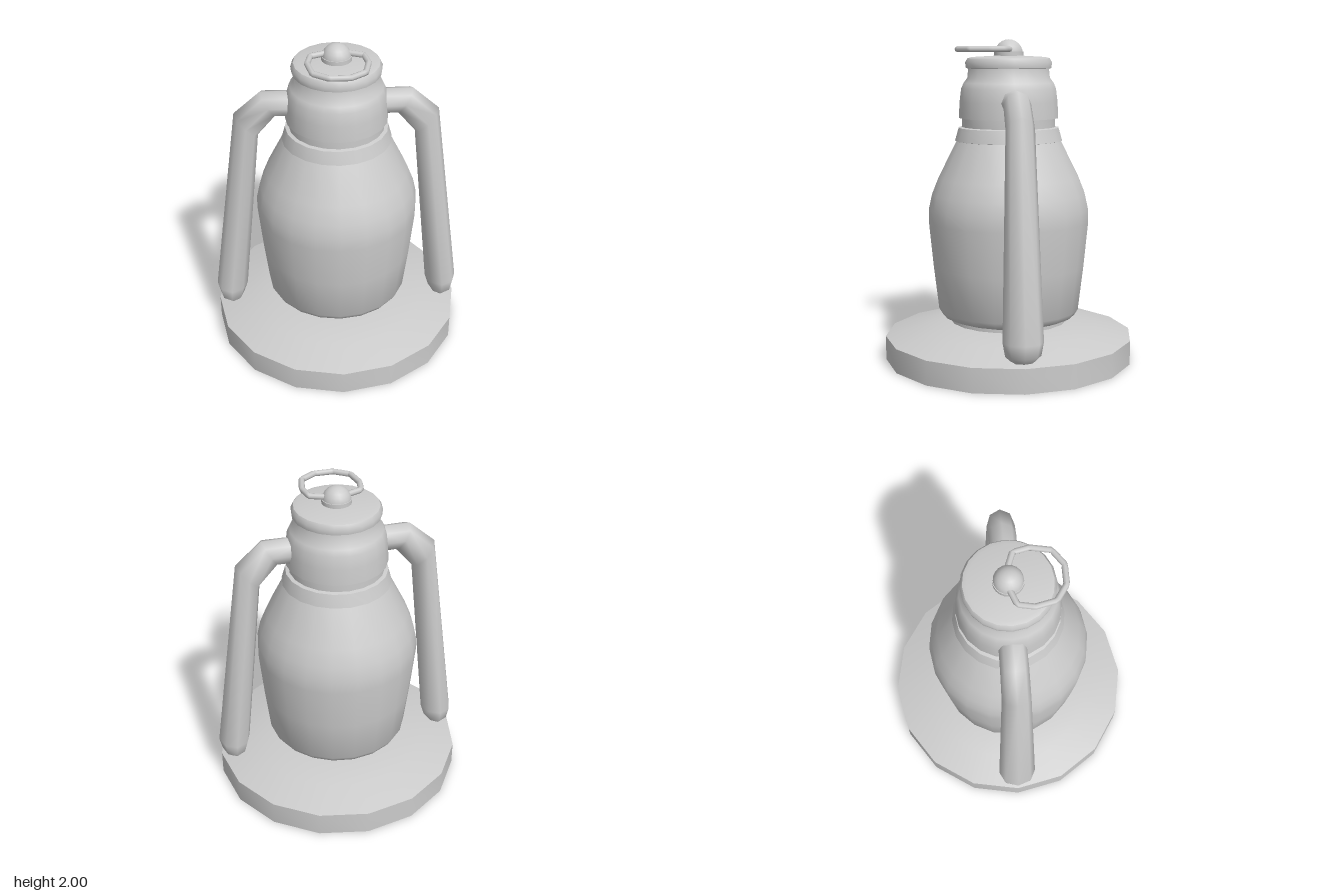
import * as THREE from 'three';
import { toCreasedNormals } from 'three/addons/utils/BufferGeometryUtils.js';

const material = new THREE.MeshStandardMaterial({ color: 0xcccccc });

function add(group, name, geometry) {
  const mesh = new THREE.Mesh(geometry, material);
  mesh.name = name;
  group.add(mesh);
  return mesh;
}

// Turned part from [radius, height] pairs, listed bottom to top
function turned(profile, sides) {
  const points = profile.map(([r, y]) => new THREE.Vector2(r, y));
  return toCreasedNormals(new THREE.LatheGeometry(points, sides), 0.75);
}

// Side tube lofted through oval sections: [outer x, outer y, inner x, inner y, half depth]
function sideTube(sections, side) {
  const n = 8, positions = [], index = [];
  sections.forEach(([ox, oy, ix, iy, depth], row) => {
    for (let i = 0; i < n; i++) {
      const a = (i / n) * Math.PI * 2, c = Math.cos(a) / 2;
      positions.push(side * ((ox + ix) / 2 + (ox - ix) * c), (oy + iy) / 2 + (oy - iy) * c, depth * Math.sin(a));
      if (row === 0) continue;
      const j = (i + 1) % n, p = (row - 1) * n, q = row * n;
      const quad = [p + i, p + j, q + i, p + j, q + j, q + i];
      index.push(...(side > 0 ? quad : quad.reverse()));
    }
  });
  // Close the lower end
  const last = (sections.length - 1) * n;
  for (let i = 1; i < n - 1; i++) {
    index.push(...(side > 0 ? [last, last + i, last + i + 1] : [last, last + i + 1, last + i]));
  }
  const g = new THREE.BufferGeometry();
  g.setAttribute('position', new THREE.Float32BufferAttribute(positions, 3));
  g.setIndex(index);
  g.computeVertexNormals();
  return g;
}

export function createModel() {
  const lantern = new THREE.Group();
  lantern.name = 'lantern';

  // Fuel tank base, faceted round with a domed top
  add(lantern, 'base', turned([
    [0, 0], [0.78, 0], [0.78, 0.15], [0.57, 0.21], [0.42, 0.24], [0.3, 0.25], [0, 0.25],
  ], 16));

  // Burner seat under the globe
  add(lantern, 'globeSeat', turned([[0.37, 0.22], [0.37, 0.27], [0, 0.27]], 20));

  // Bulging globe
  add(lantern, 'globe', turned([
    [0, 0.265], [0.37, 0.265], [0.42, 0.285], [0.442, 0.32], [0.475, 0.6], [0.502, 0.88],
    [0.5, 0.96], [0.48, 1.05], [0.44, 1.15], [0.32, 1.39],
  ], 20));

  // Collar and neck above the globe
  add(lantern, 'collar', turned([
    [0.31, 1.375], [0.335, 1.38], [0.312, 1.46], [0.29, 1.465], [0.29, 1.53],
  ], 20));

  // Chimney hood
  add(lantern, 'hood', turned([
    [0.28, 1.52], [0.31, 1.52], [0.305, 1.62], [0.295, 1.7], [0.28, 1.735], [0.257, 1.765], [0.25, 1.83],
  ], 20));

  // Cap with its raised button
  add(lantern, 'cap', turned([
    [0.24, 1.82], [0.265, 1.825], [0.27, 1.86], [0.255, 1.885], [0.23, 1.892], [0.09, 1.9], [0.09, 1.925], [0, 1.93],
  ], 20));

  // Knob
  add(lantern, 'knob', new THREE.SphereGeometry(0.087, 20, 12)).position.y = 1.913;

  // Wire ring lying forward of the knob
  const half = [[0.05, -0.005], [0.155, 0.035], [0.175, 0.13], [0.15, 0.25], [0.06, 0.312]];
  const loop = [...half, ...half.map(([x, z]) => [-x, z]).reverse()]
    .map(([x, z]) => new THREE.Vector3(x, 1.94, z));
  const path = new THREE.CurvePath();
  loop.forEach((p, i) => path.add(new THREE.LineCurve3(p, loop[(i + 1) % loop.length])));
  add(lantern, 'ring', new THREE.TubeGeometry(path, 60, 0.018, 8, true));

  // Mirrored side tubes from hood to base
  const sections = [
    [0.26, 1.7, 0.26, 1.54, 0.08],
    [0.455, 1.7, 0.36, 1.545, 0.082],
    [0.615, 1.56, 0.475, 1.41, 0.085],
    [0.79, 0.28, 0.59, 0.28, 0.12],
    [0.772, 0.2, 0.615, 0.2, 0.105],
    [0.73, 0.155, 0.645, 0.155, 0.06],
  ];
  add(lantern, 'leftSideTube', sideTube(sections, 1));
  add(lantern, 'rightSideTube', sideTube(sections, -1));

  return lantern;
}
